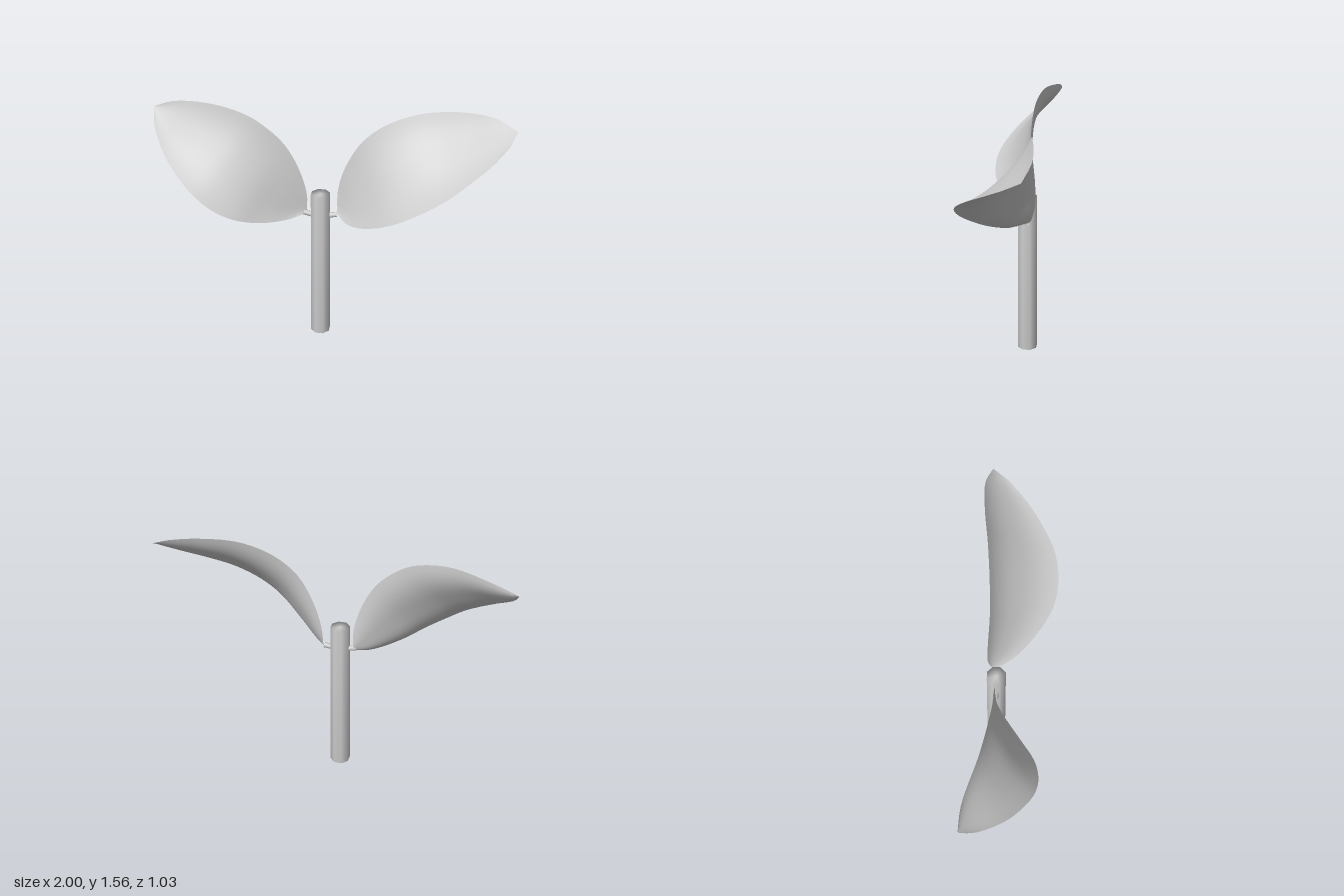
import * as THREE from 'three';

const leafGray = new THREE.MeshStandardMaterial({ color: 0xcccccc, side: THREE.DoubleSide });
leafGray.name = 'plain gray';

const curve = (pts) => new THREE.CatmullRomCurve3(pts.map((p) => new THREE.Vector3(...p)));

// One cupped sheet spanned between an upper and a lower edge; side is +1 or -1 in x
function sheet(name, side, upper, lower, depth, lip) {
  const geo = new THREE.PlaneGeometry(1, 1, 32, 16);
  const pos = geo.attributes.position;
  const mid = (t) => upper.getPointAt(t).add(lower.getPointAt(t)).multiplyScalar(0.5);
  for (let i = 0; i < pos.count; i++) {
    const t = THREE.MathUtils.clamp(0.5 + side * pos.getX(i), 0, 1);
    const s = pos.getY(i) + 0.5;
    const a = upper.getPointAt(t);
    const b = lower.getPointAt(t);
    const along = mid(Math.min(1, t + 0.03)).sub(mid(Math.max(0, t - 0.03)));
    const normal = along.cross(a.clone().sub(b)).normalize().multiplyScalar(side);
    // flat in the middle, with a steeper lip along both edges
    const across = 1 - Math.pow(Math.abs(2 * s - 1), lip);
    const sag = depth * Math.pow(Math.max(0, Math.sin(Math.PI * t)), 0.75) * across;
    const p = b.lerp(a, s).addScaledVector(normal, -sag);
    pos.setXYZ(i, p.x, p.y, p.z);
  }
  geo.computeVertexNormals();
  const mesh = new THREE.Mesh(geo, leafGray);
  mesh.name = name;
  return mesh;
}

// Thin leaf blade: an upper and a lower face that meet along the edges
function leaf(name, side, upperPts, lowerPts) {
  const group = new THREE.Group();
  group.name = name;
  const upper = curve(upperPts);
  const lower = curve(lowerPts);
  group.add(sheet('upperFace', side, upper, lower, 0.052, 2.4));
  group.add(sheet('lowerFace', side, upper, lower, 0.076, 3));
  return group;
}

// Short stalk joining a leaf to the stem
function stalk(name, from, to) {
  const mesh = new THREE.Mesh(new THREE.TubeGeometry(curve([from, to]), 2, 0.016, 8), leafGray);
  mesh.name = name;
  return mesh;
}

export function createModel() {
  const group = new THREE.Group();
  group.name = 'sprout';

  // Eight-sided stem, slightly tapered, with flat ends
  const profile = [[0, 0], [0.064, 0], [0.06, 1.02], [0, 1.02]];
  const stem = new THREE.Mesh(
    new THREE.LatheGeometry(profile.map(([r, y]) => new THREE.Vector2(r, y)), 8), leafGray);
  stem.name = 'stem';
  group.add(stem);

  group.add(stalk('leftStalk', [0.03, 0.87, -0.015], [0.088, 0.88, -0.045]));
  group.add(stalk('rightStalk', [-0.03, 0.87, 0.015], [-0.094, 0.885, 0.04]));

  // Leaf edges run from the base to the tip
  group.add(leaf('leftLeaf', 1,
    [[0.078, 0.9, -0.07], [0.066, 1.0, -0.09], [0.1, 1.16, -0.105], [0.2, 1.36, -0.14], [0.33, 1.48, -0.205],
      [0.5, 1.55, -0.3], [0.7, 1.56, -0.42], [0.87, 1.53, -0.5], [1.0, 1.475, -0.515]],
    [[0.08, 0.885, -0.055], [0.13, 0.877, -0.02], [0.2, 0.877, 0.02], [0.35, 0.93, 0.08], [0.55, 1.04, 0.115],
      [0.69, 1.13, 0.075], [0.805, 1.21, -0.01], [0.89, 1.285, -0.135], [0.955, 1.35, -0.265], [1.0, 1.42, -0.41]]));
  group.add(leaf('rightLeaf', -1,
    [[-0.085, 0.89, 0.02], [-0.08, 1.0, 0.025], [-0.12, 1.18, 0.05], [-0.2, 1.34, 0.085], [-0.3, 1.44, 0.125],
      [-0.4, 1.5, 0.155], [-0.6, 1.54, 0.2], [-0.88, 1.51, 0.235], [-1.0, 1.465, 0.275]],
    [[-0.09, 0.87, 0.035], [-0.15, 0.855, 0.12], [-0.25, 0.88, 0.28], [-0.35, 0.945, 0.42], [-0.45, 1.015, 0.49],
      [-0.55, 1.09, 0.515], [-0.65, 1.16, 0.505], [-0.8, 1.265, 0.455], [-0.95, 1.385, 0.35], [-1.0, 1.455, 0.285]]));

  return group;
}
